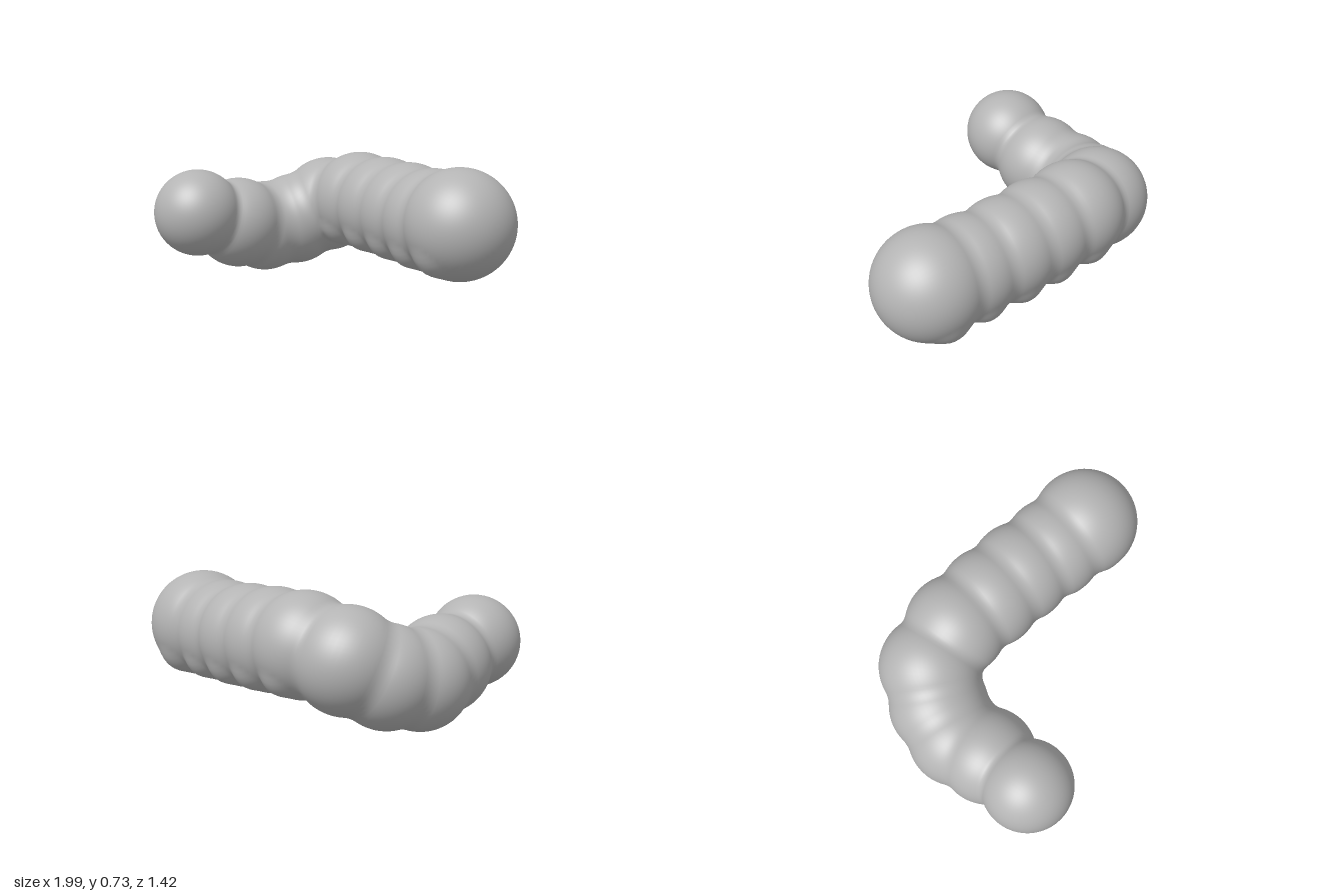
import * as THREE from 'three';

// Body lobes from tail to head: x, y, z, radius
const LOBES = [
  [-0.705, 0.405, 0.455, 0.252],
  [-0.70, 0.32, 0.17, 0.267],
  [-0.722, 0.275, -0.04, 0.272],
  [-0.655, 0.31, -0.23, 0.277],
  [-0.53, 0.40, -0.39, 0.287],
  [-0.27, 0.45, -0.425, 0.287],
  [-0.02, 0.44, -0.395, 0.287],
  [0.21, 0.43, -0.365, 0.287],
  [0.45, 0.42, -0.32, 0.287],
  [0.69, 0.43, -0.28, 0.305],
];
const BLEND = 0.03;

// Smooth union of all the spheres: negative inside, positive outside
function makeField(spheres) {
  return (p) => {
    let d = 10;
    for (const { c, r } of spheres) {
      const s = p.distanceTo(c) - r;
      const h = Math.max(BLEND - Math.abs(d - s), 0) / BLEND;
      d = Math.min(d, s) - h * h * BLEND * 0.25;
    }
    return d;
  };
}

function frameAt(spine, t) {
  const T = spine.getTangentAt(t);
  const side = new THREE.Vector3(0, 1, 0).cross(T).normalize();
  return { origin: spine.getPointAt(t), T, side, up: T.clone().cross(side) };
}

function bodyGeometry() {
  const spheres = LOBES.map(([x, y, z, r]) => ({ c: new THREE.Vector3(x, y, z), r }));
  const spine = new THREE.CatmullRomCurve3(spheres.map((s) => s.c), false, 'centripetal');

  // Paired stubby feet low on the long stretch
  for (let i = 5; i < LOBES.length; i++) {
    const [x, y, z, r] = LOBES[i];
    for (const s of [-1, 1]) {
      const c = new THREE.Vector3(x - s * 0.025, y - 0.14, z + s * 0.14);
      spheres.push({ c, r: r - 0.18 });
    }
  }
  const field = makeField(spheres);

  // Rings: rounded start, length of the spine, rounded end
  const CAP = 20, LENGTH = 150, AROUND = 64;
  const rings = [];
  for (let i = 0; i < CAP; i++) rings.push({ t: 0, tilt: (i / CAP - 1) * Math.PI / 2 });
  for (let i = 0; i <= LENGTH; i++) rings.push({ t: i / LENGTH, tilt: 0 });
  for (let i = 1; i <= CAP; i++) rings.push({ t: 1, tilt: i / CAP * Math.PI / 2 });

  const pos = [], nor = [], index = [];
  const W = AROUND + 1, e = 0.004;
  const axes = ['x', 'y', 'z'];
  rings.forEach(({ t, tilt }, i) => {
    const f = frameAt(spine, t);
    for (let j = 0; j <= AROUND; j++) {
      const a = (j % AROUND) / AROUND * Math.PI * 2;
      const dir = new THREE.Vector3()
        .addScaledVector(f.side, Math.cos(a) * Math.cos(tilt))
        .addScaledVector(f.up, Math.sin(a) * Math.cos(tilt))
        .addScaledVector(f.T, Math.sin(tilt));
      // Walk outwards from the spine to the skin
      const p = f.origin.clone();
      for (let k = 0; k < 60; k++) {
        const d = field(p);
        if (d > -0.0002) break;
        p.addScaledVector(dir, -d);
      }
      // Skin normal from the slope of the field
      const n = new THREE.Vector3();
      for (const ax of axes) {
        const q = p.clone();
        q[ax] += e;
        const hi = field(q);
        q[ax] -= 2 * e;
        n[ax] = hi - field(q);
      }
      n.normalize();
      pos.push(p.x, p.y, p.z);
      nor.push(n.x, n.y, n.z);
      if (i < rings.length - 1 && j < AROUND) {
        const v = i * W + j;
        index.push(v, v + 1, v + W, v + 1, v + W + 1, v + W);
      }
    }
  });

  const g = new THREE.BufferGeometry();
  g.setAttribute('position', new THREE.Float32BufferAttribute(pos, 3));
  g.setAttribute('normal', new THREE.Float32BufferAttribute(nor, 3));
  g.setIndex(index);
  return g;
}

export function createModel() {
  const group = new THREE.Group();
  group.name = 'segmentedGrub';
  const skin = new THREE.MeshStandardMaterial({ color: 0xb4b4b4 });
  skin.name = 'grey skin';
  const body = new THREE.Mesh(bodyGeometry(), skin);
  body.name = 'segmentedBody';
  group.add(body);
  return group;
}
